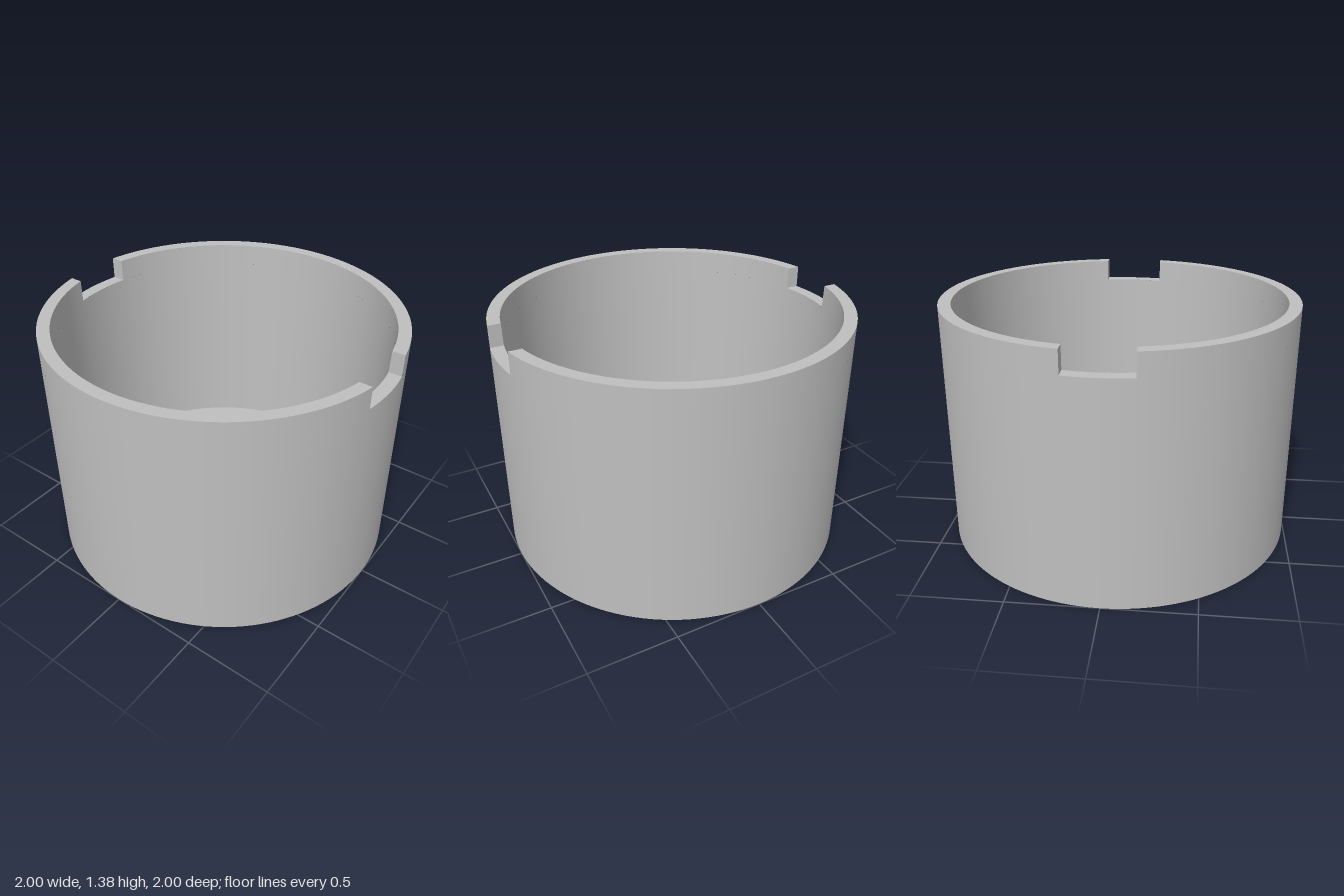
import * as THREE from 'three';
import { ParametricGeometry } from 'three/addons/geometries/ParametricGeometry.js';
import { mergeGeometries } from 'three/addons/utils/BufferGeometryUtils.js';

const TOP = 1.375, NOTCH_Y = 1.25, NOTCH_HALF = 0.175;
const LEDGE_Y = 0.12, FLOOR_Y = 0.08, FLOOR_R = 0.78;

// The bore widens slightly towards the rim.
const bore = (y) => 0.9 + 0.03 * (y - LEDGE_Y) / (TOP - LEDGE_Y);
// Angle from the z axis at which radius r meets the straight notch side.
const notchAngle = (r) => Math.asin(NOTCH_HALF / r);

// Band swept around y between two [radius, height] points; range(r) gives its start and end angles.
function band([r0, y0], [r1, y1], range, segments) {
  return new ParametricGeometry((u, v, p) => {
    const r = r0 + (r1 - r0) * v;
    const [a, b] = range(r);
    const t = a + (b - a) * u;
    p.set(r * Math.sin(t), y0 + (y1 - y0) * v, r * Math.cos(t));
  }, segments, 1);
}

// Straight side wall of a notch at the front (side 1) or back (side -1).
function notchWall(side) {
  return new ParametricGeometry((u, v, p) => {
    const y = NOTCH_Y + (TOP - NOTCH_Y) * v;
    const k = side > 0 ? u : 1 - u;
    const r = bore(y) + (1 - bore(y)) * k;
    p.set(NOTCH_HALF, y, side * Math.sqrt(r * r - NOTCH_HALF * NOTCH_HALF));
  }, 1, 1);
}

export function createModel() {
  const model = new THREE.Group();
  const grey = new THREE.MeshStandardMaterial({ color: 0xbfbfbf });
  grey.name = 'grey';

  function add(name, geometry, y = 0, parent = model) {
    const mesh = new THREE.Mesh(geometry, grey);
    mesh.name = name;
    mesh.position.y = y;
    parent.add(mesh);
    return mesh;
  }

  const full = () => [0, Math.PI * 2];
  const crown = (r) => [notchAngle(r), Math.PI - notchAngle(r)];
  const gap = (r) => [-notchAngle(r), notchAngle(r)];

  // Cup below the notches
  add('outerWall', band([1, 0], [1, NOTCH_Y], full, 128));
  add('innerWall', band([bore(NOTCH_Y), NOTCH_Y], [0.9, LEDGE_Y], full, 128));
  add('ledge', band([0.9, LEDGE_Y], [FLOOR_R, LEDGE_Y], full, 128));
  add('ledgeStep', band([FLOOR_R, LEDGE_Y], [FLOOR_R, FLOOR_Y], full, 128));
  add('floor', new THREE.CircleGeometry(FLOOR_R, 128).rotateX(-Math.PI / 2), FLOOR_Y);
  add('underside', new THREE.CircleGeometry(1, 128).rotateX(Math.PI / 2));

  // Two rim halves, separated by the front and back notches
  const rim = mergeGeometries([
    band([1, NOTCH_Y], [1, TOP], crown, 64),
    band([1, TOP], [bore(TOP), TOP], crown, 64),
    band([bore(TOP), TOP], [bore(NOTCH_Y), NOTCH_Y], crown, 64),
    notchWall(1),
    notchWall(-1),
  ]);
  const notchFloor = band([1, NOTCH_Y], [bore(NOTCH_Y), NOTCH_Y], gap, 12);
  for (const [rimName, floorName, turn] of [
    ['leftRim', 'frontNotchFloor', 0],
    ['rightRim', 'backNotchFloor', Math.PI],
  ]) {
    add(rimName, rim).rotation.y = turn;
    add(floorName, notchFloor).rotation.y = turn;
  }
  return model;
}
